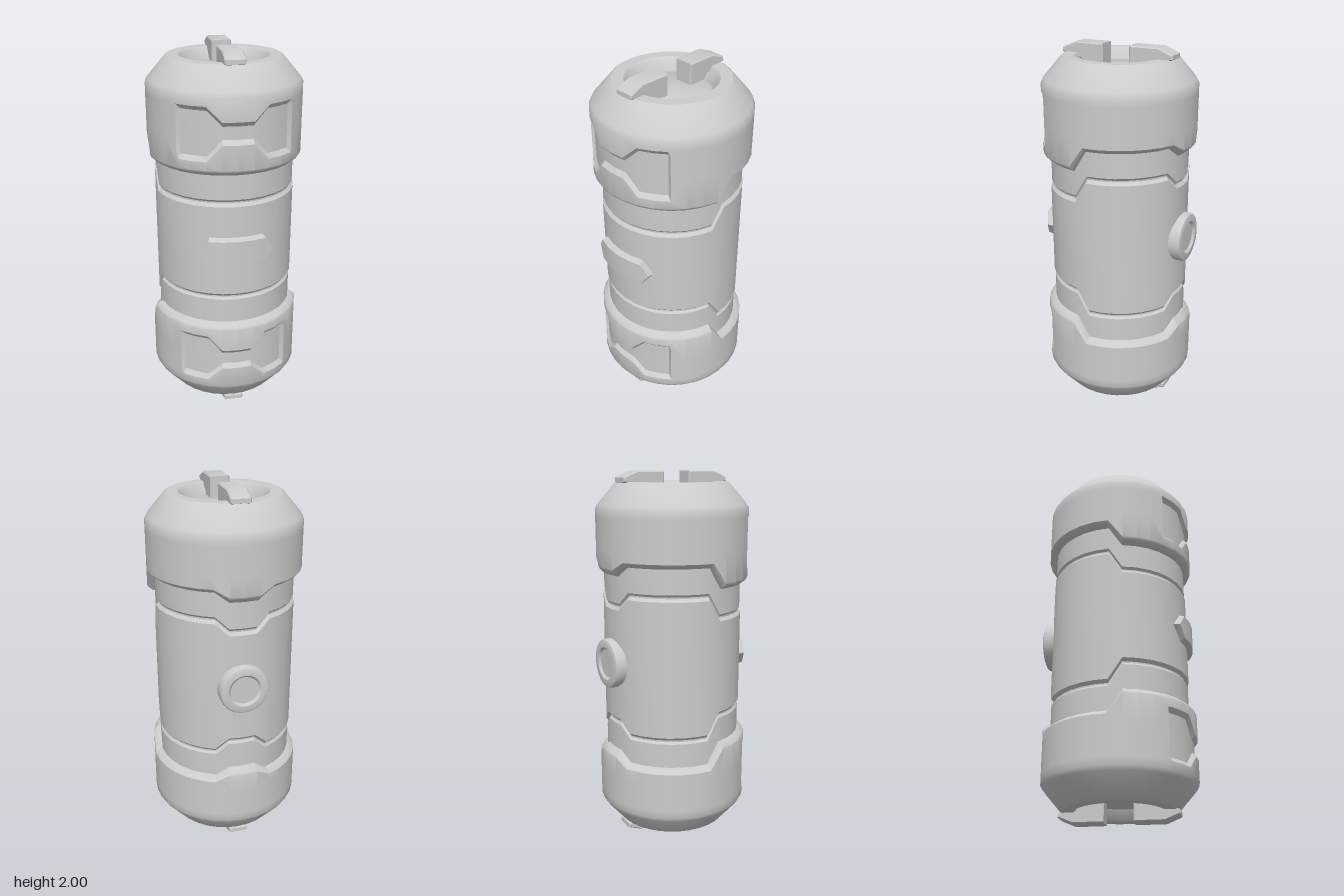
import * as THREE from 'three';
import { toCreasedNormals } from 'three/addons/utils/BufferGeometryUtils.js';

const SIDES = 32;
const STEP = (Math.PI * 2) / SIDES;
const material = new THREE.MeshStandardMaterial({ color: 0xcccccc });

function addMesh(parent, name, geometry) {
  const mesh = new THREE.Mesh(geometry, material);
  mesh.name = name;
  parent.add(mesh);
  return mesh;
}

// Skin columns of [radius, y] points, each column at its own angle from +z
function skin(angles, profileAt, crease = 0.55) {
  const columns = angles.map((a) =>
    profileAt(a).map(([r, y]) => new THREE.Vector3(r * Math.sin(a), y, r * Math.cos(a))));
  const points = [];
  const triangle = (a, b, c) => {
    const area = b.clone().sub(a).cross(c.clone().sub(a)).length();
    if (area > 1e-9) for (const p of [a, b, c]) points.push(p.x, p.y, p.z);
  };
  for (let i = 0; i < columns.length - 1; i++) {
    const left = columns[i], right = columns[i + 1];
    for (let j = 0; j < left.length - 1; j++) {
      triangle(left[j], left[j + 1], right[j + 1]);
      triangle(left[j], right[j + 1], right[j]);
    }
  }
  const geometry = new THREE.BufferGeometry();
  geometry.setAttribute('position', new THREE.Float32BufferAttribute(points, 3));
  return toCreasedNormals(geometry, crease);
}

// Column number counted from the front, 0 to 16
const columnOf = (a) => Math.abs(a) / STEP;

// Stepped seam: one height in front, one at the sides, one at the back
function seam(a, front, side, back) {
  const k = columnOf(a);
  return k < 7.5 ? front : k < 14.5 ? side : back;
}

const ring = [];
for (let i = -SIDES / 2; i <= SIDES / 2; i++) ring.push(i * STEP);

// Extra columns make the steep end walls of the front recess
const capRing = [...ring, -3.85 * STEP, 3.85 * STEP].sort((a, b) => a - b);

function capProfile(a) {
  const k = columnOf(a);
  const narrow = k < 1.5;
  const high = narrow ? 1.68 : 1.755;
  const low = narrow ? 1.59 : k < 4.5 ? 1.505 : 1.62;
  const floor = k < 3.9 ? 0.39 : 0.41;
  return [
    // sunken end disc and rim
    [0, 1.89], [0.175, 1.89], [0.2, 1.875], [0.225, 1.935], [0.237, 1.945],
    // shoulder
    [0.295, 1.945], [0.306, 1.938], [0.398, 1.83], [0.41, 1.808],
    // front recess
    [0.41, high + 0.012], [floor, high - 0.012], [floor, low + 0.012], [0.41, low - 0.012],
    // stepped lower edge
    [0.41, seam(a, 1.448, 1.555, 1.512)], [0.403, seam(a, 1.436, 1.546, 1.5)],
    [0.38, seam(a, 1.418, 1.53, 1.478)], [0.355, seam(a, 1.415, 1.527, 1.475)],
  ];
}

function bodyProfile(a) {
  const e = seam(a, 1.265, 1.38, 1.315);
  const upper = [
    [0.37, 1.6], [0.37, e + 0.018], [0.36, e + 0.006], [0.36, e - 0.002], [0.375, e - 0.018],
  ];
  const lower = upper.map(([r, y]) => [r, 2 - y]).reverse();
  return [...upper, ...lower];
}

// Raised hexagonal bar wrapped round the front
function frontBar() {
  const xs = [-0.205, -0.185, -0.145, -0.075, 0, 0.075, 0.145, 0.185, 0.205];
  const R = 0.39;
  const angles = xs.map((x) => Math.asin(x / R));
  return skin(angles, (a) => {
    const x = Math.abs(R * Math.sin(a));
    const outer = 0.08 * Math.min(1, Math.max(0, (0.205 - x) / 0.06));
    const inner = 0.064 * Math.min(1, Math.max(0, (0.185 - x) / 0.04));
    const r = x > 0.19 ? 0.368 : 0.406;
    return [[0.366, 1.003 + outer], [r, 1.003 + inner], [r, 1.003 - inner], [0.366, 1.003 - outer]];
  }, 0.5);
}

// Round button with a dished middle
function backButton() {
  const profile = [
    [0.133, -0.07], [0.133, -0.014], [0.128, -0.005], [0.116, 0],
    [0.088, 0], [0.076, -0.012], [0, -0.012],
  ].map(([r, y]) => new THREE.Vector2(r, y));
  const geometry = new THREE.LatheGeometry(profile, SIDES);
  geometry.rotateX(-Math.PI / 2);
  return toCreasedNormals(geometry, 0.55);
}

// Hooked clip lying over the rim, drawn in side profile
function clipGeometry() {
  const shape = new THREE.Shape([
    [0.075, 1.885], [0.075, 2], [0.235, 2], [0.312, 1.968],
    [0.312, 1.945], [0.26, 1.93], [0.2, 1.915], [0.17, 1.885],
  ].map(([z, y]) => new THREE.Vector2(z, y)));
  const bevel = 0.006;
  const geometry = new THREE.ExtrudeGeometry(shape, {
    depth: 0.104 - 2 * bevel,
    bevelThickness: bevel, bevelSize: bevel, bevelOffset: -bevel, bevelSegments: 1,
  });
  geometry.translate(0, 0, -0.052 + bevel);
  geometry.rotateY(-Math.PI / 2);
  return toCreasedNormals(geometry, 0.5);
}

export function createModel() {
  const model = new THREE.Group();
  model.name = 'canister';

  addMesh(model, 'body', skin(ring, bodyProfile));
  addMesh(model, 'frontBar', frontBar());
  const button = addMesh(model, 'backButton', backButton());
  button.position.set(0, 1.003, -0.415);

  // Matching end caps, the lower one turned over about the z axis
  const capShape = skin(capRing, capProfile);
  const clipShape = clipGeometry();
  for (const end of ['top', 'bottom']) {
    const cap = new THREE.Group();
    cap.name = end + 'End';
    addMesh(cap, end + 'Cap', capShape);
    addMesh(cap, end + 'FrontClip', clipShape);
    addMesh(cap, end + 'BackClip', clipShape).rotation.y = Math.PI;
    if (end === 'bottom') {
      cap.rotation.z = Math.PI;
      cap.position.y = 2;
    }
    model.add(cap);
  }
  return model;
}
